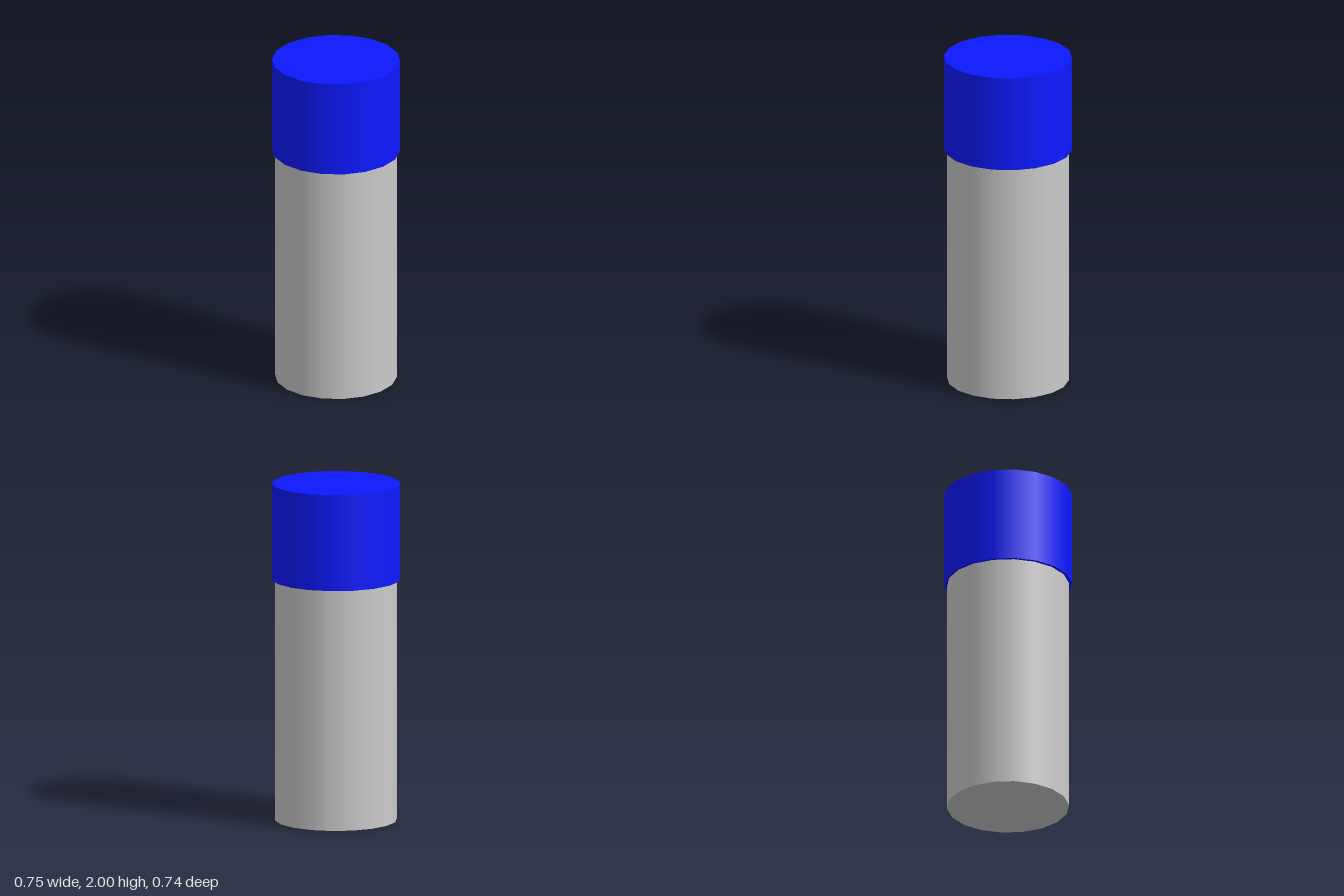
import * as THREE from 'three';

const SIDES = 18;

// Upright closed cylinder between two heights, with a corner on the x axis
function cylinder(name, radius, bottom, top, color) {
  const geometry = new THREE.CylinderGeometry(radius, radius, top - bottom, SIDES, 1, false, Math.PI / 2);
  const mesh = new THREE.Mesh(geometry, new THREE.MeshStandardMaterial({ color }));
  mesh.name = name;
  mesh.position.y = (bottom + top) / 2;
  return mesh;
}

export function createModel() {
  const model = new THREE.Group();
  model.name = 'cappedTube';

  // Plain tube, ending where the cap begins
  model.add(cylinder('body', 0.357, 0, 1.43, 0xcccccc));

  // Slightly wider blue cap
  model.add(cylinder('cap', 0.375, 1.43, 2, 0x0d18ff));

  return model;
}
